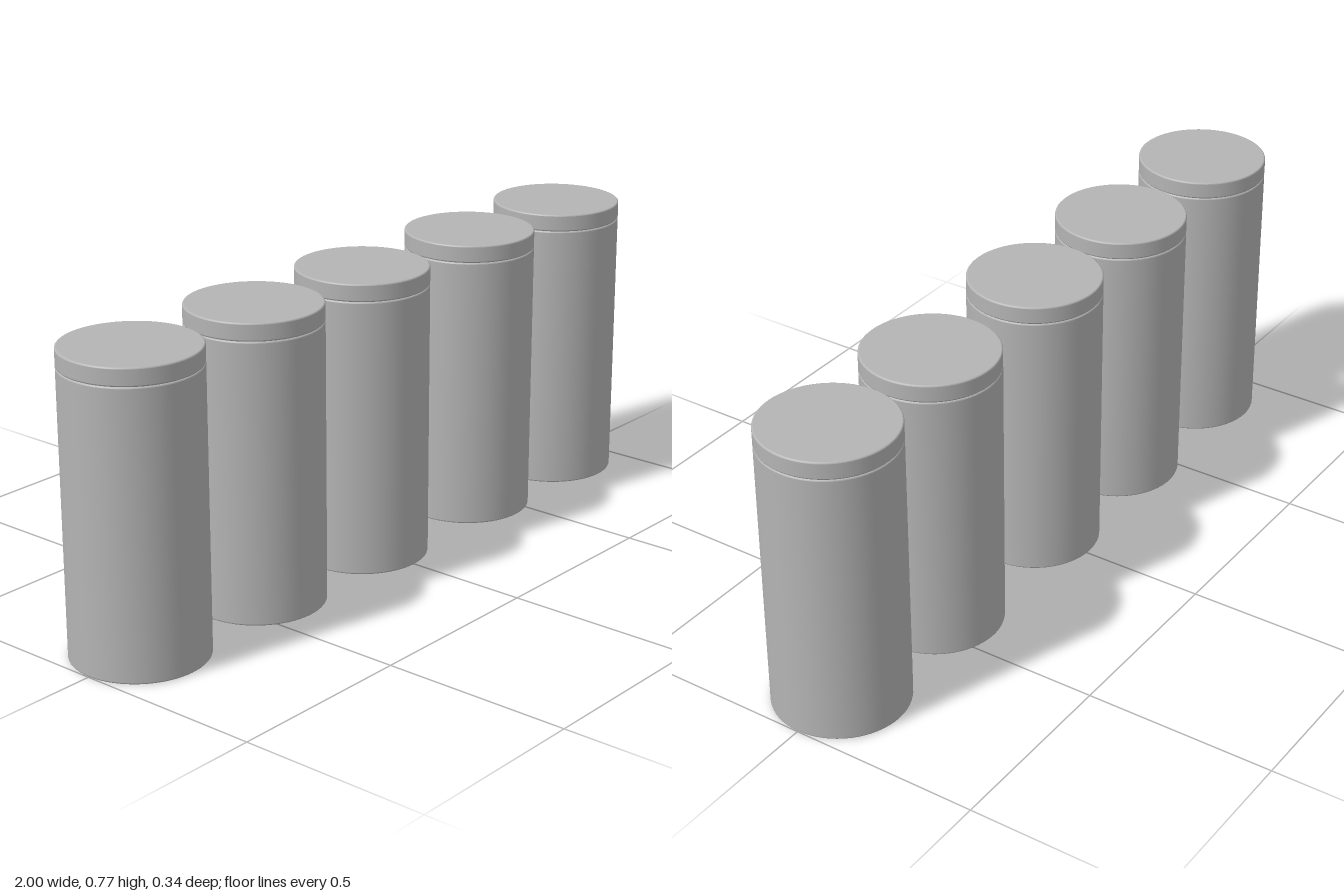
import * as THREE from 'three';

const RADIUS = 0.172;
const BEVEL = 0.004;

// Solid disc or drum with softly rounded rims, from y0 to y1.
function roundedDrum(y0, y1) {
  const points = [new THREE.Vector2(0, y0)];
  const rim = (y, start) => {
    for (let i = 0; i <= 3; i++) {
      const a = start + (i / 3) * Math.PI / 2;
      const p = new THREE.Vector2(RADIUS - BEVEL + Math.cos(a) * BEVEL, y + Math.sin(a) * BEVEL);
      points.push(p);
      // Doubled end points keep the flat caps and straight wall cleanly shaded.
      if (i === 0 || i === 3) points.push(p.clone());
    }
  };
  rim(y0 + BEVEL, -Math.PI / 2);
  rim(y1 - BEVEL, 0);
  points.push(new THREE.Vector2(0, y1));
  return new THREE.LatheGeometry(points, 64);
}

export function createModel() {
  const model = new THREE.Group();
  model.name = 'canisterRow';
  const grey = new THREE.MeshStandardMaterial({ color: 0xb4b4b4 });
  grey.name = 'grey';

  const bodyGeometry = roundedDrum(0, 0.729);
  const lidGeometry = roundedDrum(0.729, 0.775);

  // Five identical canisters, unevenly spaced along x.
  [-0.828, -0.411, -0.007, 0.436, 0.828].forEach((x, i) => {
    const canister = new THREE.Group();
    canister.name = `canister${i + 1}`;
    const body = new THREE.Mesh(bodyGeometry, grey);
    body.name = 'body';
    const lid = new THREE.Mesh(lidGeometry, grey);
    lid.name = 'lid';
    canister.add(body, lid);
    canister.position.x = x;
    model.add(canister);
  });
  return model;
}
